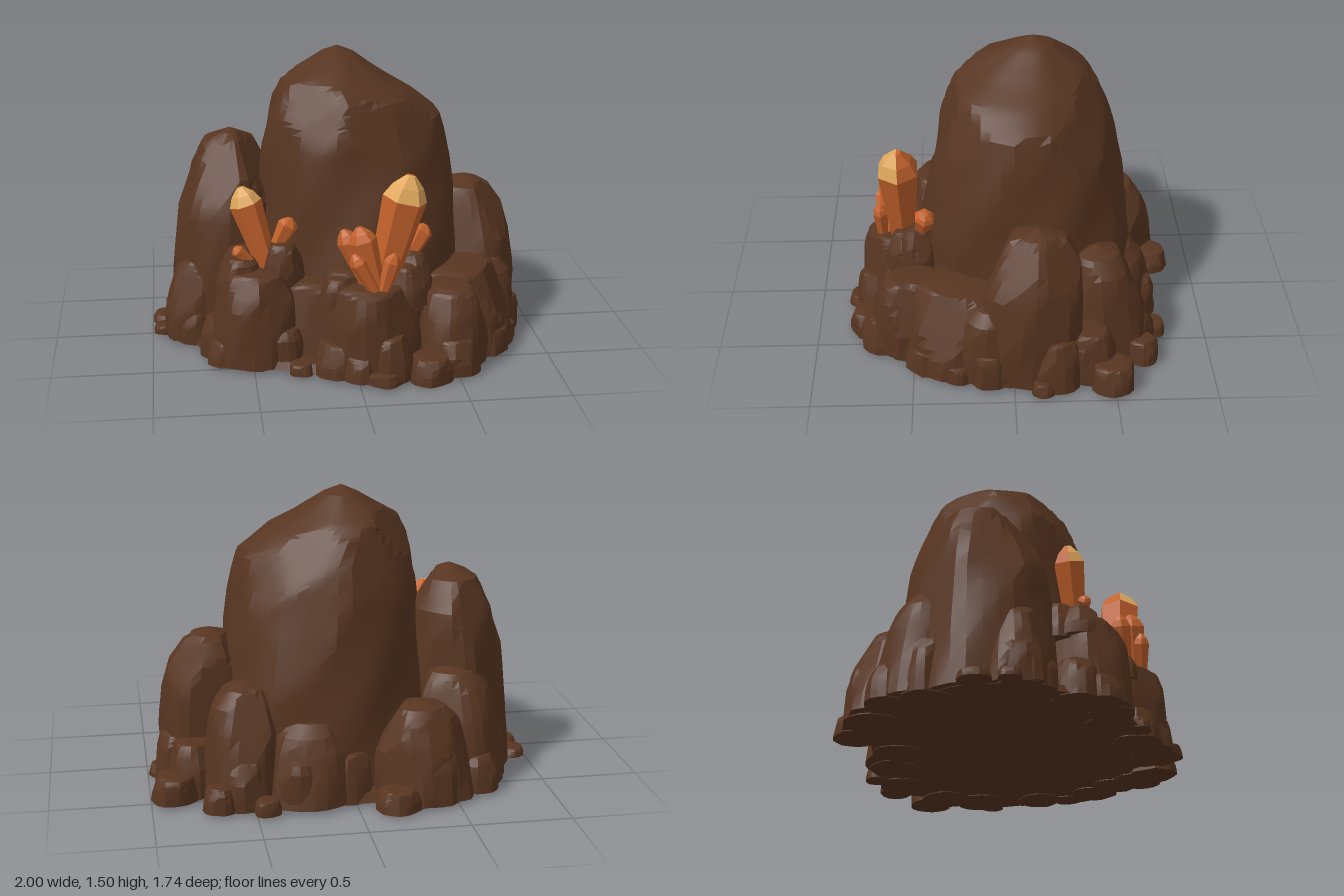
import * as THREE from 'three';
import { toCreasedNormals } from 'three/addons/utils/BufferGeometryUtils.js';

const rockMat = new THREE.MeshStandardMaterial({ color: 0x573521 });
const crystalMat = new THREE.MeshStandardMaterial({ color: 0xc4622c });
const tipMat = new THREE.MeshStandardMaterial({ color: 0xe0a85c });
rockMat.name = 'brown rock';
crystalMat.name = 'orange crystal';
tipMat.name = 'pale crystal tip';

// Seeded random numbers
function seeded(seed) {
  let s = (seed * 7919 + 17) % 2147483647;
  const next = () => (s = (s * 16807) % 2147483647) / 2147483647;
  for (let i = 0; i < 5; i++) next();
  return next;
}

// Loft through rings [y, cx, cz, rx, rz], then chisel flat faces with random planes
function chiselled(rings, seed, cuts, depth, segs, steps) {
  const rnd = seeded(seed);
  const rows = [];
  for (let i = 0; i < rings.length - 1; i++)
    for (let k = 0; k < steps; k++)
      rows.push(rings[i].map((v, n) => v + (rings[i + 1][n] - v) * k / steps));
  rows.push(rings[rings.length - 1]);
  const phase = rnd() * 6;
  const pts = [];
  rows.forEach(([y, cx, cz, rx, rz]) => {
    for (let j = 0; j < segs; j++) {
      const a = j / segs * Math.PI * 2;
      const bump = 1 + 0.02 * Math.sin(3 * a + phase + y * 4) + 0.016 * Math.sin(7 * a - phase + y * 9);
      pts.push(new THREE.Vector3(cx + Math.cos(a) * rx * bump, y, cz + Math.sin(a) * rz * bump));
    }
  });
  const y0 = rings[0][0], top = rings[rings.length - 1][0];
  const centre = new THREE.Vector3(rings[1][1], y0 + (top - y0) * 0.4, rings[1][2]);
  for (let c = 0; c < cuts; c++) {
    const a = (c * 2.4 + rnd()) % (Math.PI * 2);
    const n = new THREE.Vector3(Math.cos(a), -0.1 + rnd() * 0.75, Math.sin(a)).normalize();
    const reach = Math.max(...pts.map(p => p.clone().sub(centre).dot(n)));
    const limit = reach * (1 - depth * (0.25 + rnd() * 0.75));
    pts.forEach(p => {
      const d = p.clone().sub(centre).dot(n);
      if (d > limit) p.sub(centre).multiplyScalar(limit / d).add(centre);
    });
  }
  for (let j = 0; j < segs; j++) pts[j].y = y0;
  const index = [], last = rows.length - 1;
  for (let i = 0; i < last; i++)
    for (let j = 0; j < segs; j++) {
      const a = i * segs + j, b = i * segs + (j + 1) % segs;
      index.push(a, a + segs, b);
      if (i < last - 1) index.push(b, a + segs, b + segs);
    }
  pts.push(new THREE.Vector3(rings[0][1], y0, rings[0][2]));
  for (let j = 0; j < segs; j++) index.push(pts.length - 1, j, (j + 1) % segs);
  const geo = new THREE.BufferGeometry().setFromPoints(pts);
  geo.setIndex(index);
  return toCreasedNormals(geo, 0.25);
}

// Rock profiles: [height share, width share]
const DOME = [[0, 1.06], [0.3, 1.02], [0.6, 0.94], [0.8, 0.8], [0.94, 0.52], [1, 0]];
const BLOCK = [[0, 1.06], [0.35, 1.03], [0.75, 0.96], [0.92, 0.84], [0.98, 0.6], [1, 0]];

// Boulder; lean shifts the top sideways
function boulder(profile, x, z, rx, rz, y0, top, seed, leanX = 0, leanZ = 0) {
  const rings = profile.map(([t, s]) =>
    [y0 + (top - y0) * t, x + leanX * t, z + leanZ * t, rx * s, rz * s]);
  return chiselled(rings, seed, 14, 0.14, rx > 0.15 ? 28 : 18, rx > 0.15 ? 3 : 2);
}

// Six-sided crystal from base to tip; pale crystals have a light front on the tip
function crystal(base, tip, r, pale) {
  const g = new THREE.Group();
  g.name = 'crystal';
  const from = new THREE.Vector3(...base), dir = new THREE.Vector3(...tip).sub(from);
  const len = dir.length(), bodyLen = len * 0.8, h = len - bodyLen;
  const add = (part, rTop, rBottom, height, y, sides, start, mat) => {
    const geo = new THREE.CylinderGeometry(rTop, rBottom, height, sides, 1, false, start, sides * Math.PI / 3);
    geo.translate(0, y + height / 2, 0);
    const m = new THREE.Mesh(toCreasedNormals(geo, 0.1), mat);
    m.name = part;
    g.add(m);
  };
  add('crystalBody', r, r * 0.62, bodyLen, 0, 6, -Math.PI / 2, crystalMat);
  [[-Math.PI / 2, pale ? tipMat : crystalMat], [Math.PI / 2, crystalMat]].forEach(([start, mat]) => {
    add('crystalShoulder', r * 0.7, r, h * 0.55, bodyLen, 3, start, mat);
    add('crystalTip', r * 0.22, r * 0.7, h * 0.45, bodyLen + h * 0.55, 3, start, mat);
  });
  g.position.copy(from);
  g.quaternion.setFromUnitVectors(new THREE.Vector3(0, 1, 0), dir.normalize());
  return g;
}

export function createModel() {
  const model = new THREE.Group();
  model.name = 'crystalRock';
  const addRock = (name, geo) => {
    const m = new THREE.Mesh(geo, rockMat);
    m.name = name;
    model.add(m);
  };

  // Central peak
  addRock('mainPeak', chiselled([
    [0.02, 0.1, -0.09, 0.58, 0.58], [0.5, 0.1, -0.08, 0.53, 0.54], [0.78, 0.09, -0.08, 0.505, 0.5],
    [1.0, 0.07, -0.08, 0.48, 0.455], [1.16, 0.065, -0.07, 0.445, 0.415], [1.27, 0.01, -0.065, 0.36, 0.385],
    [1.34, -0.03, -0.09, 0.28, 0.3], [1.4, -0.02, -0.1, 0.18, 0.21], [1.46, -0.01, -0.12, 0.09, 0.11],
    [1.5, -0.01, -0.12, 0, 0],
  ], 5, 24, 0.06, 44, 4));

  // Flat footing joining the rocks
  addRock('footing', chiselled([[0.018, 0, -0.03, 0.86, 0.7], [0.06, 0, -0.03, 0.84, 0.68], [0.1, 0, -0.03, 0, 0]], 3, 0, 0, 40, 1));

  // Large rocks around the peak: profile, x, z, rx, rz, top, leanX, leanZ
  [
    [DOME, -0.62, -0.11, 0.27, 0.33, 1.08, 0.05, -0.02],
    [DOME, 0.7, -0.08, 0.25, 0.27, 0.79, -0.03, -0.04],
    [BLOCK, -0.47, 0.37, 0.23, 0.2, 0.48, 0, -0.01],
    [BLOCK, 0.08, 0.57, 0.24, 0.2, 0.46, 0, 0],
    [BLOCK, 0.6, 0.3, 0.24, 0.25, 0.44, -0.02, -0.03],
    [BLOCK, 0.48, 0.54, 0.18, 0.19, 0.42, 0.02, -0.05],
    [DOME, -0.36, -0.61, 0.24, 0.2, 0.5, 0.03, 0.04],
    [DOME, -0.57, -0.41, 0.23, 0.22, 0.62, 0.03, 0.05],
    [DOME, 0.22, -0.56, 0.24, 0.19, 0.44, -0.02, 0.04],
    [DOME, 0.55, -0.47, 0.2, 0.22, 0.6, -0.03, 0.05],
    [BLOCK, -0.16, 0.36, 0.2, 0.2, 0.42, 0, -0.03],
    [DOME, -0.76, 0.04, 0.17, 0.18, 0.46, 0.03, -0.02],
    [DOME, 0.76, 0.1, 0.17, 0.18, 0.42, -0.03, 0],
  ].forEach(([profile, x, z, rx, rz, top, lx, lz], i) =>
    addRock('largeRock', boulder(profile, x, z, rx, rz, 0.02, top, 20 + i, lx, lz)));

  // Low rocks along the rim: x, z, radius, top
  [
    [0.88, -0.48, 0.115, 0.15], [0.84, -0.2, 0.13, 0.28], [0.94, -0.14, 0.055, 0.08], [0.78, -0.38, 0.13, 0.28],
    [0.67, -0.65, 0.085, 0.14], [0.45, -0.73, 0.065, 0.09], [0.54, -0.6, 0.12, 0.26], [0.27, -0.62, 0.13, 0.26],
    [-0.19, -0.77, 0.11, 0.12], [-0.38, -0.66, 0.14, 0.32], [-0.63, -0.56, 0.11, 0.2], [-0.7, -0.38, 0.12, 0.3],
    [-0.92, -0.15, 0.078, 0.06], [-0.94, 0.01, 0.055, 0.06], [-0.83, 0.05, 0.105, 0.26], [-0.76, 0.13, 0.1, 0.18],
    [-0.64, 0.31, 0.115, 0.22], [-0.62, 0.42, 0.105, 0.14], [-0.48, 0.47, 0.11, 0.17], [-0.35, 0.47, 0.11, 0.21],
    [-0.27, 0.61, 0.065, 0.07], [-0.09, 0.61, 0.12, 0.18], [0.02, 0.68, 0.11, 0.15], [0.12, 0.77, 0.09, 0.07],
    [0.16, 0.7, 0.11, 0.24], [0.36, 0.72, 0.115, 0.13], [0.49, 0.65, 0.125, 0.19], [0.57, 0.52, 0.11, 0.19],
    [0.7, 0.42, 0.115, 0.14], [0.81, 0.28, 0.075, 0.1], [0.81, 0.12, 0.115, 0.2], [0.03, -0.58, 0.12, 0.26],
  ].forEach(([x, z, r, top], i) =>
    addRock('rimRock', boulder(BLOCK, x, z, r, r, i === 25 ? 0 : 0.014, top, 60 + i)));

  // Rubble mounds holding the crystals: x, z, radius, bottom, top
  [
    [-0.55, 0.33, 0.12, 0.36, 0.54], [-0.34, 0.33, 0.11, 0.36, 0.61], [-0.42, 0.24, 0.14, 0.32, 0.57],
    [-0.53, 0.23, 0.12, 0.35, 0.56], [0.26, 0.54, 0.11, 0.34, 0.54], [0.29, 0.47, 0.12, 0.3, 0.59],
    [0.14, 0.44, 0.15, 0.3, 0.55], [-0.04, 0.48, 0.13, 0.3, 0.51], [-0.08, 0.55, 0.09, 0.34, 0.49],
  ].forEach(([x, z, r, y0, top], i) =>
    addRock('crystalMound', boulder(DOME, x, z, r, r * 0.9, y0, top, 120 + i)));

  // Crystals: base, tip, radius, pale tip
  [
    [[0.13, 0.42, 0.55], [0.27, 1.0, 0.57], 0.112, true],
    [[0.1, 0.43, 0.63], [0.01, 0.76, 0.61], 0.072, false],
    [[0.06, 0.45, 0.58], [-0.06, 0.73, 0.55], 0.055, false],
    [[0.1, 0.42, 0.66], [-0.02, 0.64, 0.66], 0.045, false],
    [[0.12, 0.42, 0.66], [0.18, 0.64, 0.67], 0.042, false],
    [[0.28, 0.54, 0.46], [0.37, 0.7, 0.43], 0.055, false],
    [[-0.41, 0.46, 0.32], [-0.54, 0.88, 0.28], 0.082, true],
    [[-0.37, 0.56, 0.31], [-0.29, 0.72, 0.32], 0.053, false],
    [[-0.5, 0.51, 0.35], [-0.58, 0.59, 0.36], 0.035, false],
  ].forEach(args => model.add(crystal(...args)));

  return model;
}
